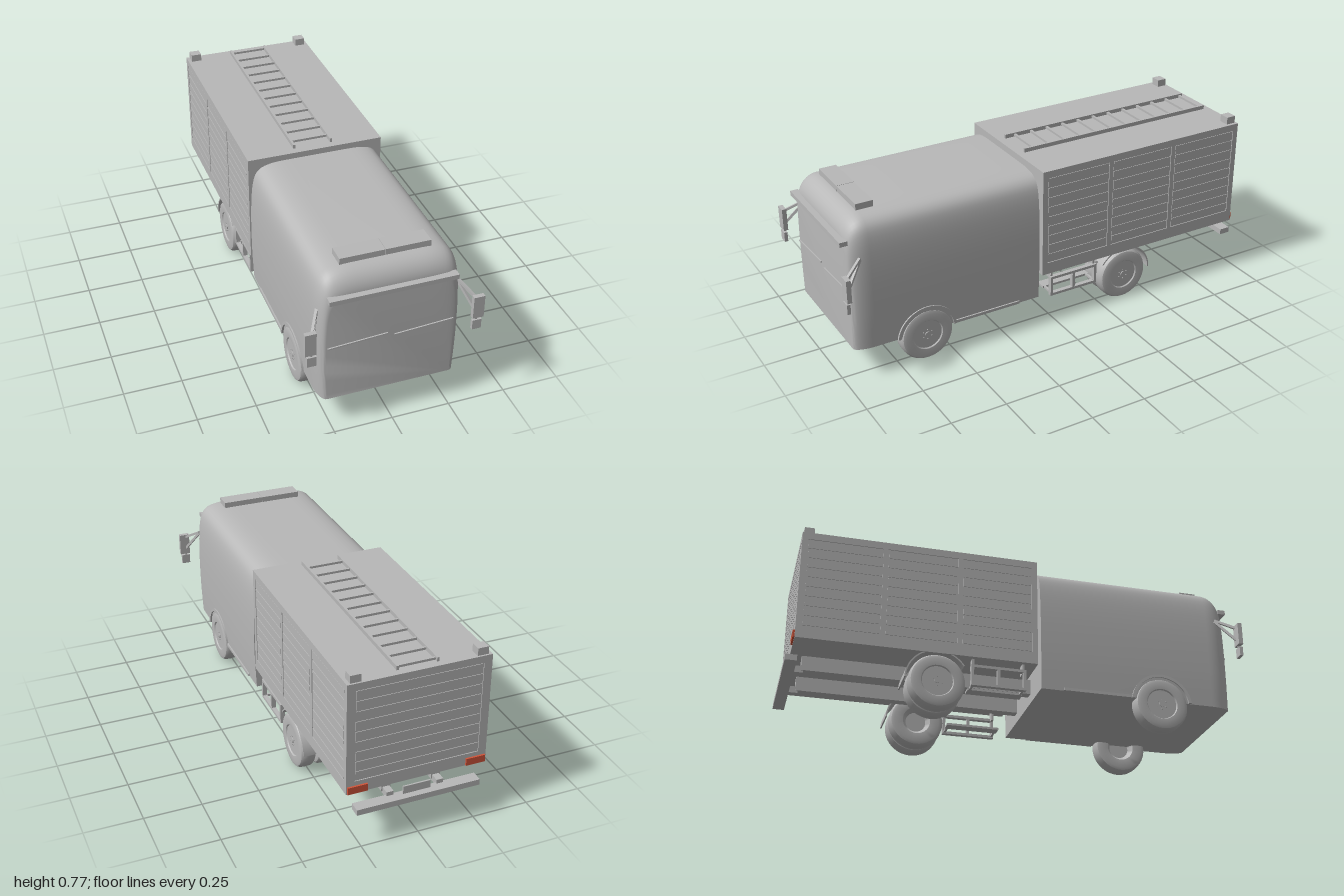
import * as THREE from 'three';
import { toCreasedNormals } from 'three/addons/utils/BufferGeometryUtils.js';

const grey = new THREE.MeshStandardMaterial({ color: 0xb8b8b8 });
grey.name = 'body grey';
const red = new THREE.MeshStandardMaterial({ color: 0xd0553a });
red.name = 'tail light red';

export function createModel() {
  const model = new THREE.Group();
  model.name = 'fireTruck';

  const add = (name, geo, mat = grey, parent = model) => {
    const m = new THREE.Mesh(geo, mat);
    m.name = name;
    parent.add(m);
    return m;
  };
  // box given by its extents on each axis
  const box = (name, x0, x1, y0, y1, z0, z1, mat = grey, parent = model) => {
    const m = add(name, new THREE.BoxGeometry(Math.abs(x1 - x0), y1 - y0, Math.abs(z1 - z0)), mat, parent);
    m.position.set((x0 + x1) / 2, (y0 + y1) / 2, (z0 + z1) / 2);
    return m;
  };
  // same box on both sides
  const pair = (name, x0, x1, ...rest) => {
    for (const s of [1, -1]) box(name, s * x0, s * x1, ...rest);
  };
  // straight bar between two points
  const bar = (name, a, b, t) => {
    const A = new THREE.Vector3(...a), B = new THREE.Vector3(...b);
    const m = add(name, new THREE.BoxGeometry(t, t, A.distanceTo(B)));
    m.position.copy(A).add(B).multiplyScalar(0.5);
    m.lookAt(B);
    return m;
  };
  // curved strip around a wheel, width along x
  const arch = (name, x, w, r0, r1, a0, a1, z, y) => {
    const s = new THREE.Shape();
    s.absarc(0, 0, r1, a0, a1, false);
    s.absarc(0, 0, r0, a1, a0, true);
    const g = new THREE.ExtrudeGeometry(s, { depth: w, bevelEnabled: false, curveSegments: 16 });
    g.translate(0, 0, -w / 2).rotateY(-Math.PI / 2);
    add(name, toCreasedNormals(g, 0.6)).position.set(x, y, z);
  };

  // cab: one cross-section carried along z, shrinking round the front edge
  const half = new THREE.SplineCurve([[0.297, 0.137], [0.303, 0.3], [0.302, 0.5], [0.29, 0.64],
    [0.262, 0.7], [0.2, 0.722], [0.1, 0.725]].map(p => new THREE.Vector2(...p))).getPoints(24);
  const ring = [...half, ...half.slice().reverse().map(p => new THREE.Vector2(-p.x, p.y))];
  const N = ring.length, stations = [[0.08, 0, 0]];
  for (let i = 0; i <= 10; i++) {
    const a = i / 10 * Math.PI / 2, k = 1 - Math.cos(a);
    stations.push([0.86 + 0.09 * Math.sin(a), 0.033 * k, 0.1 * k]);
  }
  const pos = [], idx = [];
  for (const [z, dx, dy] of stations) {
    for (const p of ring) {
      pos.push(p.x * (1 - dx / 0.303), 0.137 + (p.y - 0.137) * (1 - dy / 0.588), z);
    }
  }
  for (let s = 0; s < stations.length - 1; s++) {
    for (let i = 0; i < N; i++) {
      const a = s * N + i, b = s * N + (i + 1) % N;
      idx.push(a, b, b + N, a, b + N, a + N);
    }
  }
  const last = (stations.length - 1) * N;
  for (let i = 1; i < N - 1; i++) {
    idx.push(0, i + 1, i, last, last + i, last + i + 1);
  }
  const cabGeo = new THREE.BufferGeometry();
  cabGeo.setAttribute('position', new THREE.Float32BufferAttribute(pos, 3));
  cabGeo.setIndex(idx);
  add('cab', toCreasedNormals(cabGeo, 0.6));

  // cab fittings
  box('sunVisor', -0.267, 0.267, 0.62, 0.64, 0.94, 0.975);
  pair('roofLightBar', 0.001, 0.19, 0.715, 0.75, 0.79, 0.867);
  pair('sill', 0.28, 0.304, 0.137, 0.15, 0.18, 0.5);
  bar('wiper', [-0.265, 0.396, 0.954], [-0.015, 0.411, 0.954], 0.006);
  bar('wiper', [0.015, 0.396, 0.954], [0.265, 0.411, 0.954], 0.006);
  pair('mirror', 0.327, 0.374, 0.425, 0.527, 0.98, 1);
  pair('lowerMirror', 0.327, 0.366, 0.371, 0.415, 0.985, 1);
  for (const s of [1, -1]) {
    bar('mirrorArm', [s * 0.295, 0.565, 0.905], [s * 0.342, 0.515, 0.985], 0.011);
    bar('mirrorArm', [s * 0.295, 0.56, 0.905], [s * 0.342, 0.455, 0.985], 0.011);
    bar('mirrorLink', [s * 0.345, 0.44, 0.99], [s * 0.345, 0.4, 0.99], 0.008);
  }

  // equipment body with a proud frame round recessed shutters
  box('equipmentBody', -0.301, 0.301, 0.245, 0.742, -0.966, 0.065);
  pair('bodyTopRail', 0.298, 0.305, 0.71, 0.742, -0.97, 0.065);
  pair('bodyBottomRail', 0.298, 0.305, 0.245, 0.3, -0.97, 0.065);
  const posts = [[0.04, 0.065], [-0.29, -0.27], [-0.62, -0.6], [-0.97, -0.945]];
  for (const [a, b] of posts) pair('bodyPost', 0.298, 0.305, 0.3, 0.71, a, b);
  box('rearTopRail', -0.305, 0.305, 0.71, 0.742, -0.97, -0.965);
  box('rearBottomRail', -0.305, 0.305, 0.245, 0.3, -0.97, -0.965);
  pair('rearPost', 0.27, 0.305, 0.3, 0.71, -0.97, -0.965);
  const slats = 9, pitch = 0.41 / slats;
  for (let i = 0; i < slats; i++) {
    const y0 = 0.303 + i * pitch, y1 = y0 + pitch - 0.006;
    for (let p = 0; p < 3; p++) {
      pair('sideShutterSlat', 0.299, 0.304, y0, y1, posts[p + 1][1] + 0.004, posts[p][0] - 0.004);
    }
    box('rearShutterSlat', -0.266, 0.266, y0, y1, -0.969, -0.965);
  }
  pair('cornerBeacon', 0.243, 0.29, 0.742, 0.775, -0.962, -0.918);
  pair('tailLight', 0.215, 0.3, 0.248, 0.28, -0.978, -0.969, red);

  // roof ladder
  pair('ladderRail', 0.08, 0.09, 0.742, 0.76, -0.94, 0.03);
  for (let i = 0; i < 12; i++) {
    const z = -0.02 - i * 0.0822;
    box('ladderRung', -0.085, 0.085, 0.745, 0.755, z - 0.005, z + 0.005);
  }

  // chassis
  pair('chassisRail', 0.09, 0.13, 0.18, 0.247, -0.92, 0.09);
  box('rearBumper', -0.27, 0.27, 0.156, 0.182, -1, -0.95);
  pair('bumperBracket', 0.095, 0.125, 0.17, 0.2, -0.96, -0.91);
  box('rearPlate', -0.06, 0.06, 0.185, 0.22, -0.975, -0.968);

  // open side steps
  for (const [y0, y1] of [[0.12, 0.132], [0.203, 0.215]]) pair('stepBar', 0.275, 0.295, y0, y1, -0.225, 0.015);
  for (const z of [-0.225, -0.111, 0.003]) pair('stepUpright', 0.275, 0.295, 0.12, 0.215, z, z + 0.012);
  pair('stepTread', 0.18, 0.228, 0.125, 0.135, -0.225, 0.015);
  for (const z of [-0.22, 0.0]) {
    pair('stepBracket', 0.18, 0.285, 0.125, 0.135, z, z + 0.01);
    pair('stepHanger', 0.25, 0.285, 0.2, 0.25, z, z + 0.01);
  }

  // wheels: hollow on the inside, flat disc on the outside
  const profile = [[0, 0.03], [0.045, 0.03], [0.062, 0.004], [0.1, 0], [0.113, 0.004], [0.12, 0.014],
    [0.1215, 0.036], [0.12, 0.058], [0.113, 0.068], [0.1, 0.072], [0.07, 0.07], [0.066, 0.065], [0, 0.065]]
    .map(p => new THREE.Vector2(...p));
  const tyre = toCreasedNormals(new THREE.LatheGeometry(profile, 40), 0.6);
  const wheel = (name, s, x, z) => {
    const g = new THREE.Group();
    g.name = name;
    add('tyreAndRim', tyre, grey, g);
    add('hubCap', new THREE.CylinderGeometry(0.012, 0.012, 0.005, 12), grey, g).position.y = 0.067;
    for (let i = 0; i < 6; i++) {
      const a = i * Math.PI / 3;
      add('wheelNut', new THREE.CylinderGeometry(0.003, 0.003, 0.004, 6), grey, g)
        .position.set(0.022 * Math.cos(a), 0.067, 0.022 * Math.sin(a));
    }
    g.position.set(s * x, 0.122, z);
    g.rotation.z = -s * Math.PI / 2;
    model.add(g);
  };
  for (const s of [1, -1]) {
    wheel('frontWheel', s, 0.234, 0.625);
    wheel('rearOuterWheel', s, 0.23, -0.37);
    wheel('rearInnerWheel', s, 0.149, -0.37);
    const hub = add('rearHub', new THREE.CylinderGeometry(0.065, 0.065, 0.08, 24));
    hub.rotation.z = Math.PI / 2;
    hub.position.set(s * 0.225, 0.122, -0.37);
    arch('frontWheelArch', s * 0.3, 0.014, 0.125, 0.138, 0.12, Math.PI - 0.12, 0.625, 0.122);
    arch('rearMudguard', s * 0.225, 0.15, 0.134, 0.14, 0.6, Math.PI - 0.02, -0.37, 0.122);
  }
  return model;
}
